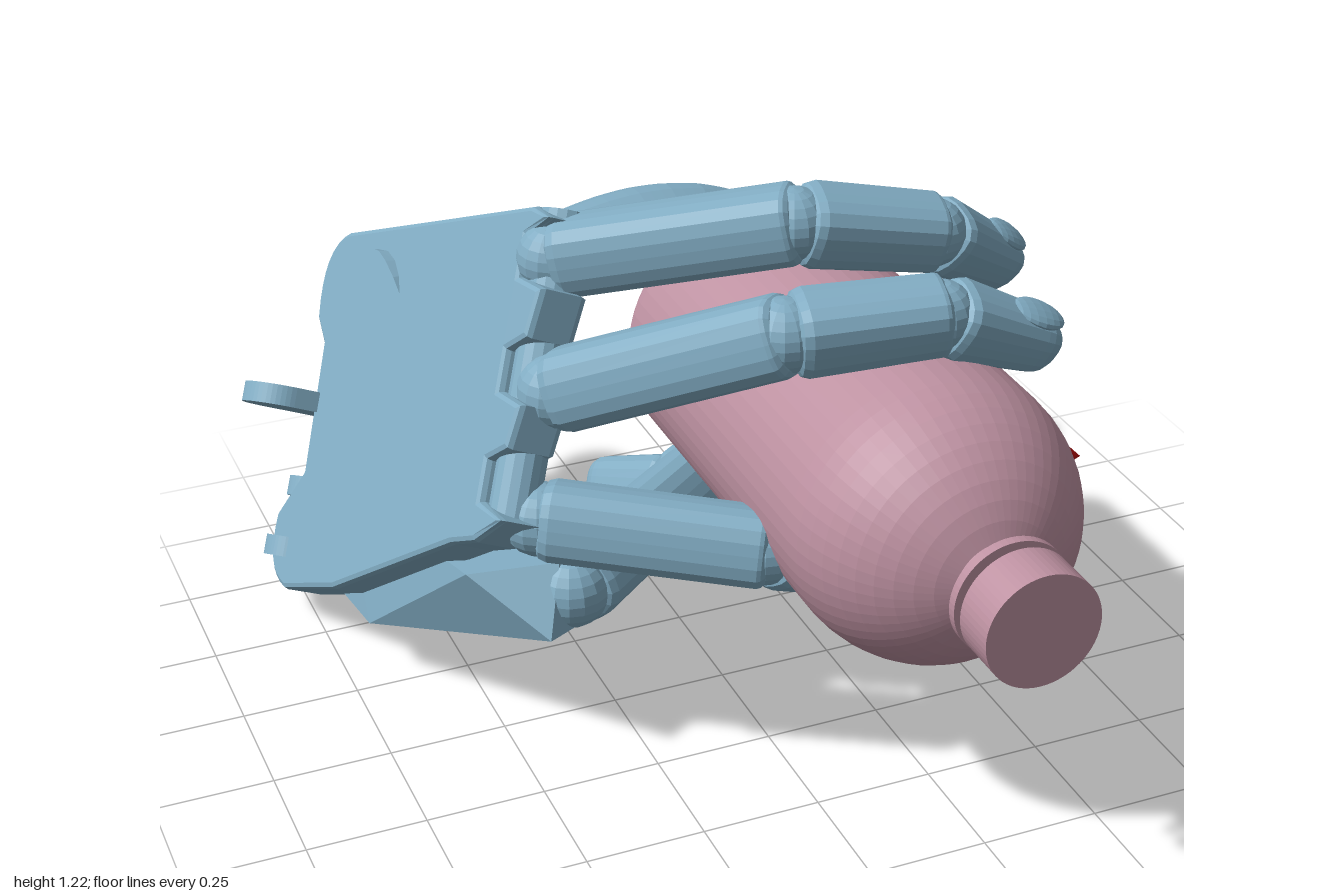
import * as THREE from 'three';
import { ConvexGeometry } from 'three/addons/geometries/ConvexGeometry.js';

const V = (a) => new THREE.Vector3(...a);
const mat = (color) => new THREE.MeshStandardMaterial({ color, flatShading: true });
const handMat = mat(0x82adc4), bottleMat = mat(0xbd91a1), arrowMat = mat(0xc00c0c);

// palm frame: v runs wrist to knuckles, u runs index side to little-finger side, n faces the grip
const v = V([0.185, 0.39, 0.9]).normalize();
const n = V([0.914, -0.405, -0.012]).normalize();
const u = n.clone().cross(v).normalize();
v.crossVectors(u, n);
const origin = V([-0.53, 0.72, -0.98]);
const palmMatrix = new THREE.Matrix4().makeBasis(v, u, n).setPosition(origin);
const onPalm = (s, t, d) => V([s, t, d]).applyMatrix4(palmMatrix);

function add(group, name, geometry, material) {
  const mesh = new THREE.Mesh(geometry, material);
  mesh.name = name;
  group.add(mesh);
  return mesh;
}

// lay a geometry built along +y onto the line p -> q, with its z side turned to "back"
function orient(geometry, p, q, back) {
  const y = q.clone().sub(p).normalize();
  const x = y.clone().cross(back).normalize();
  const z = x.clone().cross(y);
  return geometry.applyMatrix4(new THREE.Matrix4().makeBasis(x, y, z).setPosition(p));
}

// one finger bone: tapered, rounded-square section, bevelled or domed end
function phalanx(p, q, r0, r1, back, tip) {
  const L = p.distanceTo(q);
  const e0 = r0 * 0.35, e1 = r1 * (tip ? 1.1 : 0.4);
  const pts = [[0, 0], [r0 * 0.7, 0], [r0 * 0.93, e0 * 0.4], [r0, e0]];
  for (let i = 0; i <= 6; i++) {
    const a = (i / 6) * Math.PI / 2;
    pts.push([i < 6 ? r1 * Math.cos(a) : 0, L - e1 + e1 * Math.sin(a)]);
  }
  const g = new THREE.LatheGeometry(pts.map((a) => new THREE.Vector2(...a)), 20);
  const pos = g.attributes.position;
  for (let i = 0; i < pos.count; i++) {
    const x = pos.getX(i), z = pos.getZ(i), r = Math.hypot(x, z);
    if (r < 1e-6) continue; // points on the axis stay put
    const k = Math.pow(Math.pow(Math.abs(x / r), 2.8) + Math.pow(Math.abs(z / r), 2.8), -1 / 2.8);
    pos.setXYZ(i, x * k, pos.getY(i), z * k);
  }
  return orient(g, p, q, back);
}

// a finger: bones between the joints, ball joints and a nail on the last bone
function finger(name, joints, radii, dorsal) {
  const group = new THREE.Group();
  group.name = name;
  const pts = joints.map(V), back = V(dorsal).normalize();
  const last = pts.length - 2;
  for (let i = 0; i <= last; i++) {
    const dir = pts[i + 1].clone().sub(pts[i]).normalize();
    const p = pts[i].clone().addScaledVector(dir, i ? 0.012 : 0);
    const q = pts[i + 1].clone().addScaledVector(dir, i < last ? 0.025 : 0);
    add(group, i === last ? 'fingertip' : 'fingerBone', phalanx(p, q, radii[i], radii[i + 1], back, i === last), handMat);
    add(group, 'joint', new THREE.SphereGeometry(radii[i] * 0.93, 16, 12), handMat).position.copy(pts[i]);
  }
  const a = pts[last], b = pts[last + 1];
  const dir = b.clone().sub(a).normalize();
  const out = back.clone().addScaledVector(dir, -back.dot(dir)).normalize();
  const nail = new THREE.SphereGeometry(1, 14, 10).scale(0.042, 0.062, 0.016);
  const c = a.clone().lerp(b, 0.7).addScaledVector(out, radii[last + 1] * 1.02);
  add(group, 'nail', orient(nail, c, c.clone().add(dir), out), handMat);
  return group;
}

// thumb: one flowing body swelling at the joint, then a tip
function buildThumb() {
  const thumb = finger('thumb', [[0.35, 0.7, -0.71], [0.65, 0.645, -0.685]], [0.084, 0.062], [0.3, -0.2, -1]);
  const curve = new THREE.CatmullRomCurve3([
    [-0.5, 0.67, -0.66], [-0.3, 0.7, -0.655], [-0.08, 0.74, -0.69], [0.1, 0.745, -0.71], [0.25, 0.73, -0.715], [0.38, 0.7, -0.71],
  ].map(V));
  const radii = [0.15, 0.125, 0.105, 0.095, 0.088, 0.086, 0.09, 0.096, 0.1, 0.1, 0.096, 0.085, 0];
  const rings = 36, g = new THREE.TubeGeometry(curve, rings, 1, 18);
  const pos = g.attributes.position;
  for (let i = 0; i < pos.count; i++) {
    const t = Math.floor(i / 19) / rings, k = t * (radii.length - 1);
    const j = Math.min(Math.floor(k), radii.length - 2);
    const r = THREE.MathUtils.lerp(radii[j], radii[j + 1], k - j);
    const c = curve.getPointAt(t);
    const p = new THREE.Vector3().fromBufferAttribute(pos, i).sub(c).multiplyScalar(r).add(c);
    pos.setXYZ(i, p.x, p.y, p.z);
  }
  add(thumb, 'thumbBody', g, handMat);
  return thumb;
}

function buildPalm() {
  const palm = new THREE.Group();
  palm.name = 'palm';
  // back plate with a slot for each of three knuckles
  const s = new THREE.Shape();
  s.moveTo(0.08, 0);
  s.lineTo(0.96, -0.02);
  for (const t of [0.07, 0.3, 0.52]) {
    s.lineTo(1.02, t - 0.075);
    s.lineTo(0.94, t - 0.05);
    s.lineTo(0.94, t + 0.05);
    s.lineTo(1.04, t + 0.075);
  }
  s.lineTo(0.95, 0.63);
  s.lineTo(0.85, 0.64);
  s.lineTo(0.32, 0.77);
  s.lineTo(0.06, 0.79);
  s.quadraticCurveTo(-0.06, 0.76, -0.04, 0.64);
  s.lineTo(0.07, 0.54);
  s.lineTo(0.05, 0.24);
  s.lineTo(-0.01, 0.18);
  s.quadraticCurveTo(-0.05, 0.02, 0.08, 0);
  const plate = new THREE.ExtrudeGeometry(s, { depth: 0.08, bevelThickness: 0.015, bevelSize: 0.012, bevelSegments: 2, curveSegments: 8 });
  add(palm, 'backPlate', plate.applyMatrix4(palmMatrix), handMat);

  // cupped block leading to the little finger
  add(palm, 'littleFingerBlock', new ConvexGeometry([
    [-0.74, 0.13, -0.62], [-0.55, 0, -0.58], [-0.54, 0.13, -0.66], [-0.68, 0.36, -0.5],
    [-0.4, 0.44, 0.1], [-0.45, 0.31, 0.18], [-0.29, 0.21, -0.06], [-0.31, 0.4, -0.1],
    [-0.58, 0.42, 0.04], [-0.34, 0.29, 0.1], [-0.7, 0.13, -0.3],
  ].map(V)), handMat);
  // web between the plate and the block
  add(palm, 'palmWeb', new ConvexGeometry([
    onPalm(0.95, 0.45, 0.03), onPalm(0.95, 0.6, 0.03), onPalm(0.25, 0.45, 0.03), onPalm(0.25, 0.7, 0.03),
    onPalm(0.3, 0.6, 0.15), onPalm(0.8, 0.62, 0.17),
  ]), handMat);
  // mound spreading from the thumb over the palm
  add(palm, 'thumbMound', new ConvexGeometry([
    onPalm(0.08, 0.06, 0.06), onPalm(0.5, 0.03, 0.06), onPalm(0.75, 0.22, 0.06), onPalm(0.55, 0.45, 0.06), onPalm(0.12, 0.42, 0.06),
    onPalm(0.16, 0.06, 0.17), onPalm(0.24, 0.26, 0.17), onPalm(0.42, 0.24, 0.15), onPalm(0.4, 0.08, 0.13),
  ]), handMat);

  // knuckle pins
  for (const t of [0.07, 0.3, 0.52]) {
    const pin = new THREE.CylinderGeometry(0.05, 0.05, 0.18, 16).translate(0, -0.01, 0);
    add(palm, 'knucklePin', orient(pin, onPalm(0.98, t, 0.05), onPalm(0.98, t + 1, 0.05), n), handMat);
  }
  // wrist hinge: [position along the hinge, start and end across it, radius]
  for (const [t, d0, d1, r] of [[0.06, 0.06, 0.15, 0.05], [0.2, 0.07, 0.15, 0.06], [0.38, -0.07, 0.12, 0.085], [0.57, 0.06, 0.18, 0.07], [0.71, 0.03, 0.17, 0.07]]) {
    const lug = new THREE.Shape();
    lug.absarc(0, d0, r, Math.PI, Math.PI * 2, false);
    lug.absarc(0, d1, r, 0, Math.PI, false);
    const g = new THREE.ExtrudeGeometry(lug, { depth: 0.045, bevelEnabled: false, curveSegments: 12 });
    // shape x -> v, shape y -> n, depth -> -u
    g.applyMatrix4(new THREE.Matrix4().makeBasis(v, n, u.clone().negate()).setPosition(onPalm(-0.01, t + 0.022, 0)));
    add(palm, 'wristLug', g, handMat);
  }
  const bar = new THREE.CylinderGeometry(0.04, 0.04, 0.4, 14);
  add(palm, 'wristBar', orient(bar, onPalm(0.05, 0.5, 0.08), onPalm(0.05, 1, 0.08), n), handMat);
  return palm;
}

function buildBottle() {
  const bottle = new THREE.Group();
  bottle.name = 'bottle';
  const base = -0.355, R = 0.297;
  const prof = [];
  for (let i = 0; i <= 8; i++) prof.push([i * 0.029, base]);
  for (let i = 1; i <= 5; i++) {
    const a = (i / 5) * Math.PI / 2;
    prof.push([0.232 + (R - 0.232) * Math.sin(a), base + 0.07 * (1 - Math.cos(a))]);
  }
  prof.push([R, base + 0.13], [R, 0.1]);
  for (let i = 0; i <= 10; i++) {
    const a = (i / 10) * 1.26;
    prof.push([R * Math.cos(a), 0.535 + 0.305 * Math.sin(a)]);
  }
  prof.push([0.09, 0.835], [0.09, 0.86], [0.12, 0.86], [0.12, 0.88], [0.09, 0.88], [0.09, 0.9],
    [0.118, 0.9], [0.118, 1], [0, 1]);
  const g = new THREE.LatheGeometry(prof.map((p) => new THREE.Vector2(...p)), 60);
  // five V-shaped grooves in the foot
  const pos = g.attributes.position, step = Math.PI * 2 / 5;
  for (let i = 0; i < pos.count; i++) {
    const x = pos.getX(i), z = pos.getZ(i);
    const a = Math.atan2(-z, x) - Math.PI / 5;
    const off = Math.abs(a - Math.round(a / step) * step);
    const r = Math.hypot(x, z);
    const depth = r < 0.01 ? 0.03 : 0.12 * Math.max(0, 1 - off / 0.209);
    pos.setY(i, Math.max(pos.getY(i), base + depth));
  }
  add(bottle, 'bottleBody', g.rotateX(Math.PI / 2), bottleMat);
  bottle.position.set(0.204, 0.662, 0);
  return bottle;
}

function buildArrow() {
  const arrow = new THREE.Group();
  arrow.name = 'arrow';
  const tail = V([0.205, 0.68, 0.265]), tip = V([0.82, 0.405, 0.07]);
  const L = tail.distanceTo(tip), head = 0.16;
  const shaft = new THREE.CylinderGeometry(0.029, 0.029, L - head, 16).translate(0, (L - head) / 2, 0);
  const cone = new THREE.ConeGeometry(0.062, head, 20).translate(0, L - head / 2, 0);
  add(arrow, 'arrowShaft', orient(shaft, tail, tip, V([0, 0, 1])), arrowMat);
  add(arrow, 'arrowHead', orient(cone, tail, tip, V([0, 0, 1])), arrowMat);
  return arrow;
}

export function createModel() {
  const model = new THREE.Group();
  model.name = 'handHoldingBottle';
  const hand = new THREE.Group();
  hand.name = 'hand';
  hand.add(
    buildPalm(),
    buildThumb(),
    finger('indexFinger', [[-0.33, 1.03, -0.08], [0.07, 1.145, 0.185], [0.36, 1.085, 0.21], [0.6, 0.92, 0.09]],
      [0.08, 0.079, 0.074, 0.06], [0.5, 0.8, 0.3]),
    finger('middleFinger', [[-0.39, 0.82, 0.08], [-0.04, 1.02, 0.39], [0.26, 1.03, 0.445], [0.52, 0.91, 0.435]],
      [0.084, 0.081, 0.075, 0.06], [0.5, 0.8, 0.3]),
    finger('ringFinger', [[-0.46, 0.59, 0.16], [-0.07, 0.555, 0.38], [0.16, 0.46, 0.36], [0.45, 0.34, 0.27]],
      [0.081, 0.08, 0.074, 0.06], [0.3, -0.8, 0.4]),
    finger('littleFinger', [[-0.37, 0.36, 0.08], [0.06, 0.33, -0.29], [0.06, 0.25, -0.4], [-0.06, 0.17, -0.63]],
      [0.088, 0.08, 0.068, 0.056], [0.8, -0.5, -0.2]),
  );
  model.add(hand, buildBottle(), buildArrow());
  return model;
}
